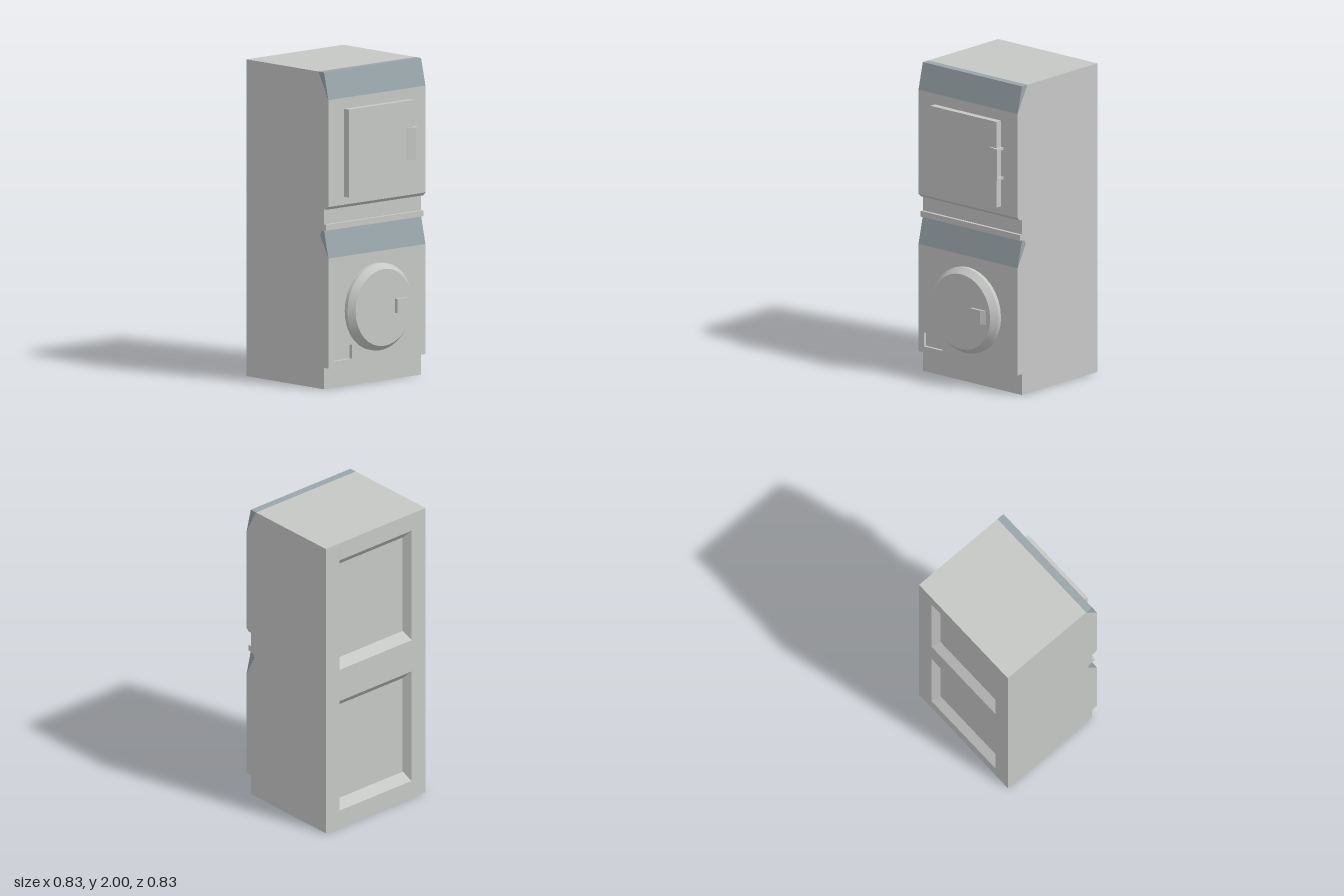
import * as THREE from 'three';

const W = 0.415; // half width of the cabinet

export function createModel() {
  const group = new THREE.Group();
  group.name = 'stackedLaundryUnit';
  const grey = new THREE.MeshStandardMaterial({ color: 0xc6c8c6 });
  grey.name = 'lightGrey';
  const blue = new THREE.MeshStandardMaterial({ color: 0x9aa6ab });
  blue.name = 'blueGrey';

  const add = (name, geometry, material = grey) => {
    const mesh = new THREE.Mesh(geometry, material);
    mesh.name = name;
    group.add(mesh);
    return mesh;
  };
  const shapeOf = pts => new THREE.Shape(pts.map(p => new THREE.Vector2(p[0], p[1])));
  const rect = (x0, y0, x1, y1) => [[x0, y0], [x1, y0], [x1, y1], [x0, y1]];
  const extrude = (shape, depth) =>
    new THREE.ExtrudeGeometry(shape, { depth, bevelEnabled: false });
  // Side profile given as [z, y], swept across the full width
  const sweepX = pts =>
    extrude(shapeOf(pts), 2 * W).rotateY(-Math.PI / 2).translate(W, 0, 0);
  // Plan profile given as [x, z], raised from y0 to y1
  const sweepY = (pts, y0, y1) =>
    extrude(shapeOf(pts), y1 - y0).rotateX(Math.PI / 2).translate(0, y1, 0);

  // Cabinet with toe kick, middle groove and cut-outs for the control panels
  add('cabinet', sweepX([
    [-0.365, 0], [0.29, 0], [0.29, 0.135], [0.31, 0.135], [0.31, 0.83], [0.33, 0.83],
    [0.255, 0.97], [0.265, 0.995], [0.29, 1.003], [0.31, 1.003], [0.31, 1.04],
    [0.29, 1.04], [0.29, 1.135], [0.31, 1.135], [0.33, 1.155], [0.33, 1.83],
    [0.24, 2], [-0.365, 2],
  ]));

  // Sloping control panels
  add('upperControlPanel', sweepX([[0.33, 1.83], [0.29, 2], [0.24, 2]]), blue);
  add('lowerControlPanel',
    sweepX([[0.33, 0.83], [0.29, 1.003], [0.265, 0.995], [0.255, 0.97]]), blue);

  // Lower front sheet with the filter pocket
  const front = shapeOf(rect(-W, 0.135, W, 0.83));
  front.holes.push(shapeOf(rect(-0.37, 0.175, -0.215, 0.265)));
  add('lowerFront', extrude(front, 0.02).translate(0, 0, 0.31));

  // Back frame: two recesses whose walls taper inwards
  const back = shapeOf(rect(-W, 0, W, 2));
  const centres = [0.505, 1.495];
  for (const c of centres) back.holes.push(shapeOf(rect(-0.3, c - 0.385, 0.3, c + 0.385)));
  const backGeometry = extrude(back, 0.05);
  const p = backGeometry.attributes.position;
  for (let i = 0; i < p.count; i++) {
    if (p.getZ(i) < 0.04 || Math.abs(p.getX(i)) > 0.4) continue;
    const c = p.getY(i) < 1 ? centres[0] : centres[1];
    p.setX(i, p.getX(i) * 0.9);
    p.setY(i, c + (p.getY(i) - c) * 0.855);
  }
  backGeometry.computeVertexNormals();
  add('backFrame', backGeometry.translate(0, 0, -0.415));

  // Square upper door
  add('upperDoor', new THREE.BoxGeometry(0.555, 0.555, 0.042))
    .position.set(-0.0025, 1.4825, 0.351);

  // Upper handle: front plate with a finger pocket open to the side
  add('upperHandlePlate', sweepY([
    [0.21, 0.372], [0.275, 0.393], [0.298, 0.393], [0.298, 0.385], [0.275, 0.385], [0.235, 0.372],
  ], 1.385, 1.59));
  for (const y of [1.385, 1.575]) {
    add('upperHandleEnd', sweepY([
      [0.21, 0.371], [0.275, 0.392], [0.2975, 0.392], [0.2975, 0.33], [0.27, 0.33],
    ], y, y + 0.015));
  }

  // Round lower door: straight rim, bevel and flat face, each with crisp edges
  const door = new THREE.Group();
  door.name = 'roundDoor';
  door.position.set(0, 0.483, 0);
  group.add(door);
  const ring = (name, rBack, rFront, z0, z1) => {
    const g = new THREE.CylinderGeometry(rFront, rBack, z1 - z0, 32);
    door.add(add(name, g.rotateX(Math.PI / 2).translate(0, 0, (z0 + z1) / 2)));
  };
  ring('doorRim', 0.276, 0.276, 0.325, 0.355);
  ring('doorBevel', 0.276, 0.243, 0.355, 0.395);

  // Lower door handle
  add('lowerHandle', sweepY([
    [0.095, 0.39], [0.095, 0.415], [0.175, 0.415], [0.21, 0.395], [0.21, 0.39],
  ], 0.438, 0.528));

  return group;
}
